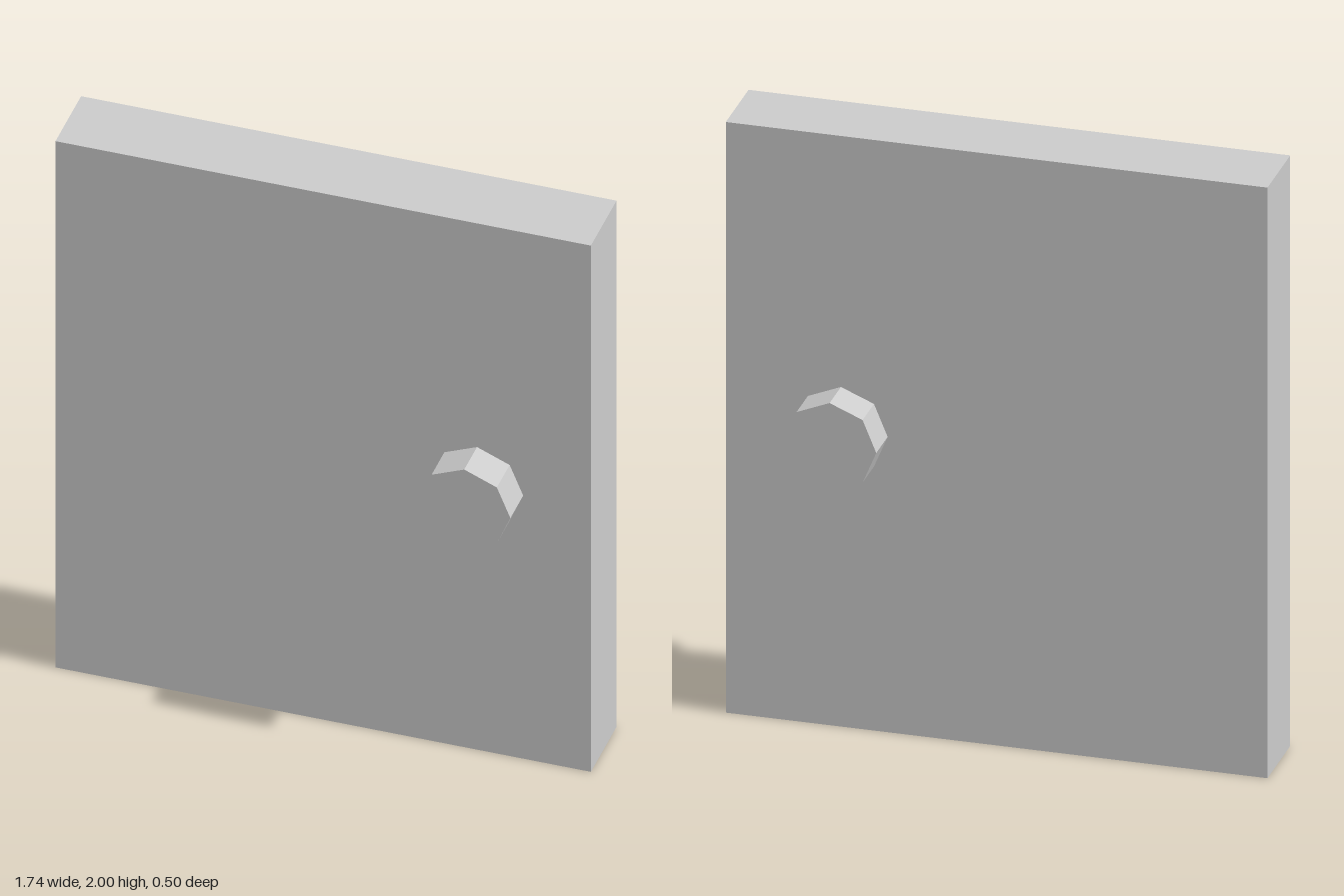
import * as THREE from 'three';

export function createModel() {
  const group = new THREE.Group();
  const material = new THREE.MeshStandardMaterial({
    color: 0xcccccc, flatShading: true, side: THREE.DoubleSide,
  });

  // Door panel: a hollow box, open underneath
  const panelGeometry = new THREE.BoxGeometry(1.74, 2, 0.25);
  const index = Array.from(panelGeometry.index.array);
  index.splice(18, 6); // drop the bottom face
  panelGeometry.setIndex(index);
  panelGeometry.clearGroups();
  const panel = new THREE.Mesh(panelGeometry, material);
  panel.name = 'doorPanel';
  panel.position.y = 1;
  group.add(panel);

  // Octagonal knob running through the panel to both sides
  const knob = new THREE.Mesh(new THREE.CylinderGeometry(0.15, 0.15, 0.5, 8), material);
  knob.name = 'doorKnob';
  knob.rotation.x = Math.PI / 2;
  knob.position.set(0.5, 1, 0);
  group.add(knob);

  return group;
}
